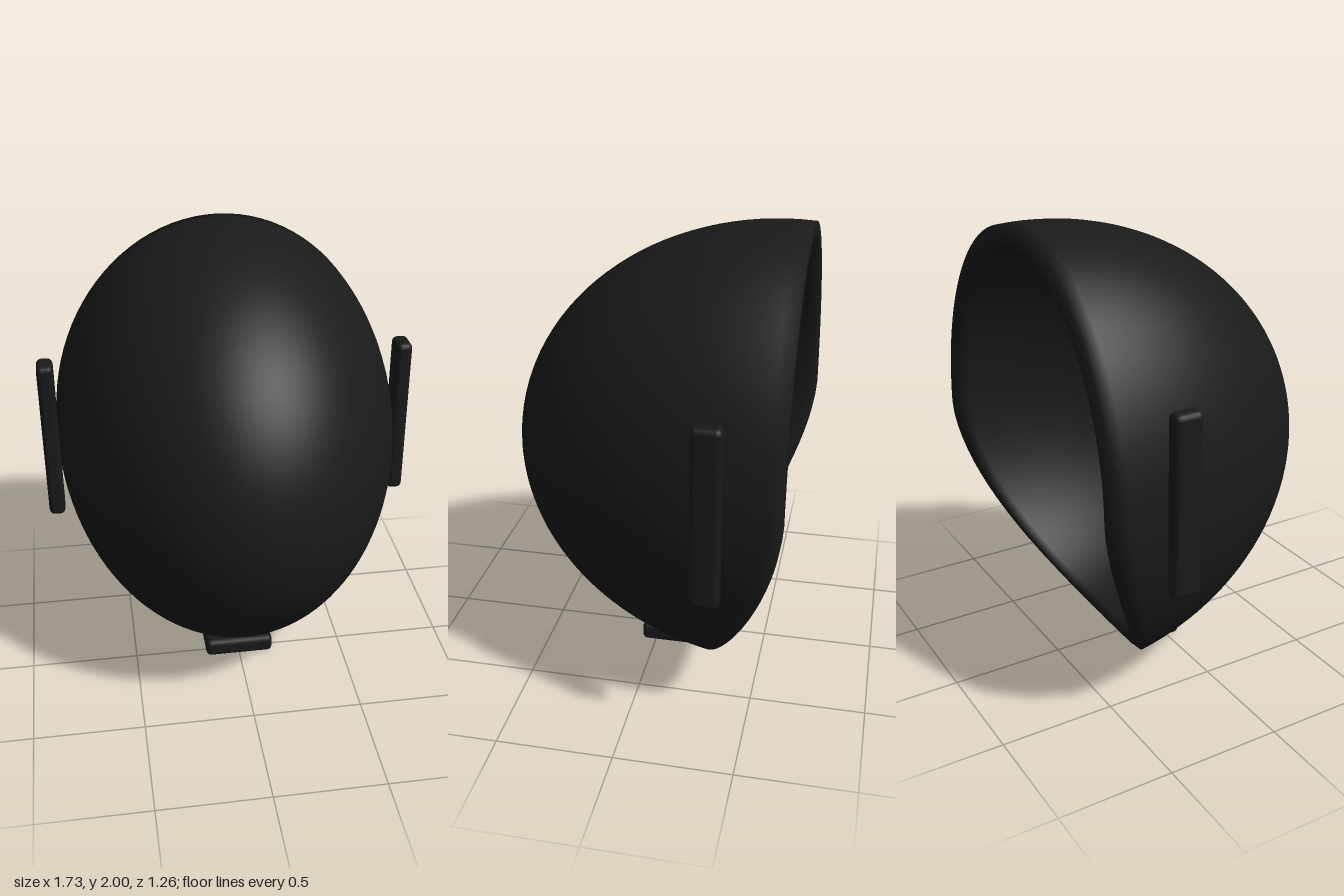
import * as THREE from 'three';
import { mergeVertices } from 'three/addons/utils/BufferGeometryUtils.js';
import { RoundedBoxGeometry } from 'three/addons/geometries/RoundedBoxGeometry.js';

const CENTRE_Z = -0.53;
const RADII = [0.8, 1.0, 1.16];
const WALL = 0.08;

// Depth of the open rim: straight above mid height, sweeping forward below.
const rimZ = (y) => -0.63 + 0.45 * Math.pow(Math.max(0, 1 - y), 1.6);

// Point on the ellipsoid shrunk by inset; phi is measured from the front pole.
function shellPoint(phi, a, inset) {
  const [rx, ry, rz] = RADII.map((r) => r - inset);
  return [
    rx * Math.sin(phi) * Math.cos(a),
    1 + ry * Math.sin(phi) * Math.sin(a),
    CENTRE_Z + rz * Math.cos(phi),
  ];
}

// Angle at which the ellipsoid meets the rim, found by bisection.
function rimAngle(a, inset) {
  let lo = 0.5, hi = 2.2;
  for (let i = 0; i < 40; i++) {
    const mid = (lo + hi) / 2;
    const p = shellPoint(mid, a, inset);
    if (p[2] > rimZ(p[1])) lo = mid; else hi = mid;
  }
  return lo;
}

// Outer skin from pole to rim, then inner skin from rim back to pole.
function shellGeometry(rings = 32, sides = 96) {
  const positions = [], index = [];
  const rows = 2 * (rings + 1);
  for (let j = 0; j < sides; j++) {
    const a = (j / sides) * Math.PI * 2;
    const outer = rimAngle(a, 0), inner = rimAngle(a, WALL);
    for (let i = 0; i < rows; i++) {
      const isOuter = i <= rings;
      const s = (isOuter ? i : rows - 1 - i) / rings;
      positions.push(...shellPoint(s * (isOuter ? outer : inner), a, isOuter ? 0 : WALL));
    }
  }
  for (let j = 0; j < sides; j++) {
    const c = j * rows, n = ((j + 1) % sides) * rows;
    for (let i = 0; i < rows - 1; i++) {
      if (i < rows - 2) index.push(c + i, c + i + 1, n + i + 1);
      if (i > 0) index.push(c + i, n + i + 1, n + i);
    }
  }
  let geometry = new THREE.BufferGeometry();
  geometry.setAttribute('position', new THREE.Float32BufferAttribute(positions, 3));
  geometry.setIndex(index);
  geometry = mergeVertices(geometry, 1e-5);
  geometry.computeVertexNormals();
  return geometry;
}

export function createModel() {
  const group = new THREE.Group();
  const material = new THREE.MeshStandardMaterial({ color: 0x1a1a1a });
  const add = (name, geometry, x = 0, y = 0, z = 0) => {
    const mesh = new THREE.Mesh(geometry, material);
    mesh.name = name;
    mesh.position.set(x, y, z);
    group.add(mesh);
  };

  // Hollow shell, open at the back
  add('shell', shellGeometry());

  // Upright bars on both sides
  const bar = new RoundedBoxGeometry(0.075, 0.775, 0.125, 2, 0.025);
  for (const [name, side] of [['leftSideBar', 1], ['rightSideBar', -1]]) {
    add(name, bar, side * 0.825, 1.06, -0.34);
  }

  // Small block under the chin
  add('chinBlock', new RoundedBoxGeometry(0.325, 0.085, 0.255, 2, 0.025), 0, 0.0425, -0.065);

  return group;
}
